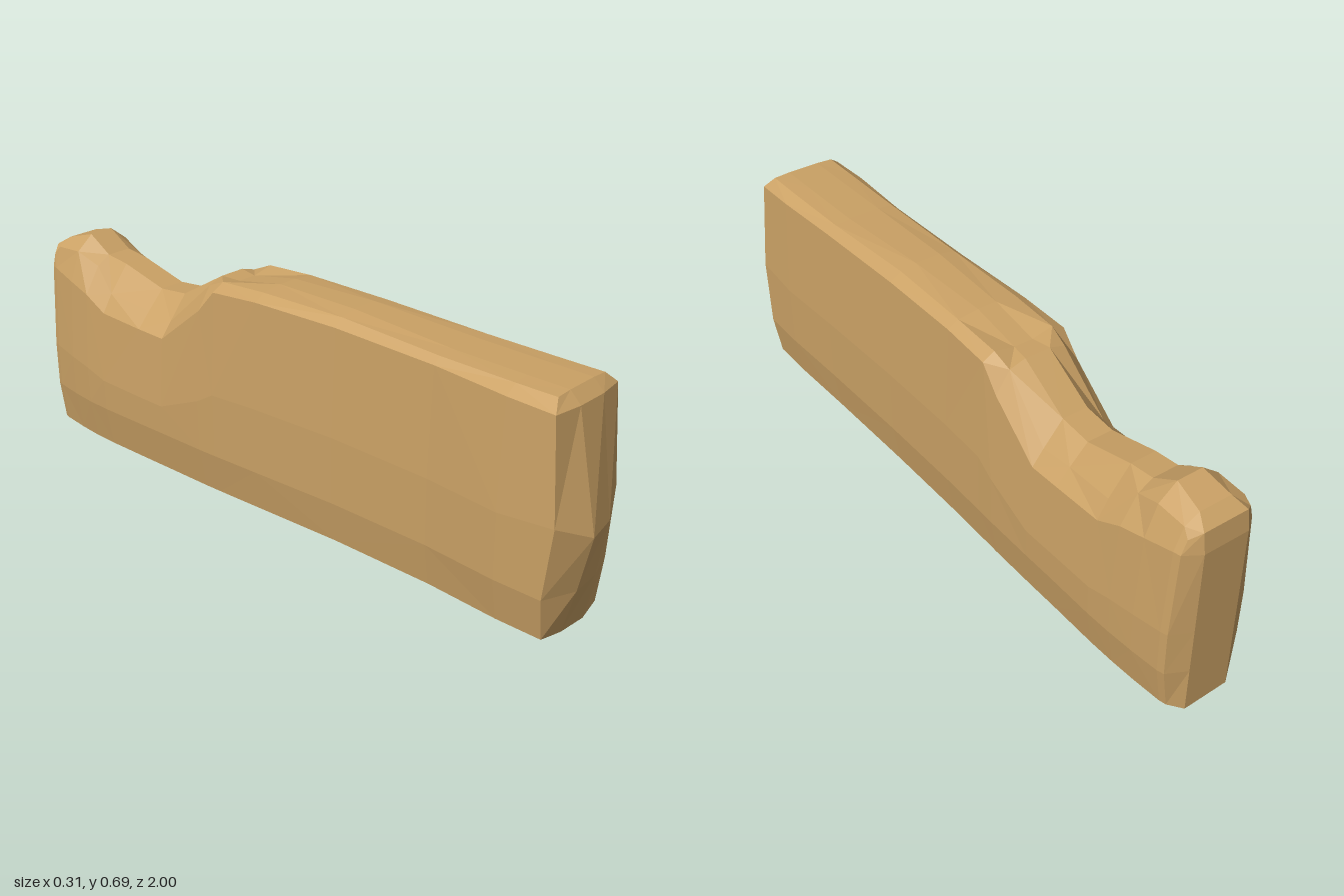
import * as THREE from 'three';

// Cross-sections, front to back:
// z, left x, right x, shoulder y, edge y, ridge y, edge x, ridge x
const SECTIONS = [
  [0.92, -0.150, 0.145, 0.635, 0.664, 0.667, 0.100, 0.05],
  [0.78, -0.150, 0.148, 0.640, 0.664, 0.668, 0.100, 0.05],
  [0.55, -0.132, 0.143, 0.647, 0.666, 0.671, 0.098, 0.05],
  [0.22, -0.130, 0.140, 0.655, 0.677, 0.686, 0.090, 0.04],
  [-0.06, -0.143, 0.142, 0.655, 0.675, 0.682, 0.095, 0.03],
  [-0.22, -0.150, 0.146, 0.645, 0.666, 0.652, 0.095, 0.03],
  [-0.28, -0.152, 0.148, 0.575, 0.640, 0.655, 0.090, 0.04],
  [-0.44, -0.153, 0.150, 0.445, 0.490, 0.560, 0.100, 0.04],
  [-0.54, -0.154, 0.150, 0.448, 0.495, 0.550, 0.095, 0.04],
  [-0.70, -0.155, 0.152, 0.456, 0.510, 0.590, 0.105, 0.04],
  [-0.78, -0.152, 0.150, 0.495, 0.575, 0.600, 0.085, 0.04],
  [-0.86, -0.143, 0.145, 0.515, 0.605, 0.648, 0.095, 0.04],
  [-0.95, -0.128, 0.136, 0.535, 0.600, 0.622, 0.095, 0.05],
  [-0.97, -0.122, 0.130, 0.535, 0.575, 0.595, 0.100, 0.07],
];

// Depth of the bulging front face, by row (bottom to top) and column
const FRONT_Z = [
  [0.92, 0.93, 0.93, 0.92],
  [0.925, 0.965, 0.955, 0.925],
  [0.95, 1.0, 0.98, 0.935],
  [0.92, 0.932, 0.932, 0.92],
  [0.90, 0.90, 0.90, 0.90],
];

// A section as a grid of 5 rows and 4 columns
function sectionGrid([z, left, right, shoulder, edge, ridge, edgeX, ridgeX], index) {
  const front = index === 0;
  const back = index === SECTIONS.length - 1;
  const rowY = [0.014, 0.14, front ? 0.35 : shoulder * 0.52, shoulder, edge];
  const width = [0.83, 0.98, 1, 0.9, 1];
  return rowY.map((y, r) => [0, 1, 2, 3].map((c) => {
    const inner = c === 1 || c === 2;
    let x;
    if (inner) x = c === 1 ? -ridgeX : ridgeX;
    else if (r === 4) x = c === 0 ? -edgeX : edgeX;
    else x = (c === 0 ? left : right) * width[r];
    let py = y;
    if (inner && r === 0) py = c === 1 ? 0.006 : 0;
    if (inner && r === 4) py = ridge;
    if (inner && r === 2 && front) py = 0.305;
    let pz = z;
    if (front) pz = FRONT_Z[r][c];
    if (back && inner) pz = r === 4 ? -0.99 : -1;
    return [x, py, pz];
  }));
}

// Outline of a grid, anticlockwise from the front
function outline(g) {
  return [...g[0], g[1][3], g[2][3], g[3][3], ...[...g[4]].reverse(), g[3][0], g[2][0], g[1][0]];
}

function stoneGeometry() {
  const positions = [];
  const quad = (a, b, c, d) => positions.push(...a, ...b, ...c, ...a, ...c, ...d);
  const grids = SECTIONS.map(sectionGrid);

  // Long walls, top and underside
  const rings = grids.map(outline);
  for (let k = 0; k < rings.length - 1; k++) {
    const near = rings[k], far = rings[k + 1];
    for (let i = 0; i < near.length; i++) {
      const j = (i + 1) % near.length;
      if ((i + k) % 2) quad(near[i], far[i], far[j], near[j]);
      else quad(far[i], far[j], near[j], near[i]);
    }
  }

  // End faces
  const first = grids[0], last = grids[grids.length - 1];
  for (let r = 0; r < 4; r++) {
    for (let c = 0; c < 3; c++) {
      quad(first[r][c], first[r][c + 1], first[r + 1][c + 1], first[r + 1][c]);
      quad(last[r][c + 1], last[r][c], last[r + 1][c], last[r + 1][c + 1]);
    }
  }

  const geometry = new THREE.BufferGeometry();
  geometry.setAttribute('position', new THREE.Float32BufferAttribute(positions, 3));
  geometry.computeVertexNormals();
  return geometry;
}

export function createModel() {
  const group = new THREE.Group();
  group.name = 'stoneWall';
  const sandstone = new THREE.MeshStandardMaterial({ color: 0xcaa165, flatShading: true });
  sandstone.name = 'sandstone';
  const slab = new THREE.Mesh(stoneGeometry(), sandstone);
  slab.name = 'notchedSlab';
  group.add(slab);
  return group;
}
